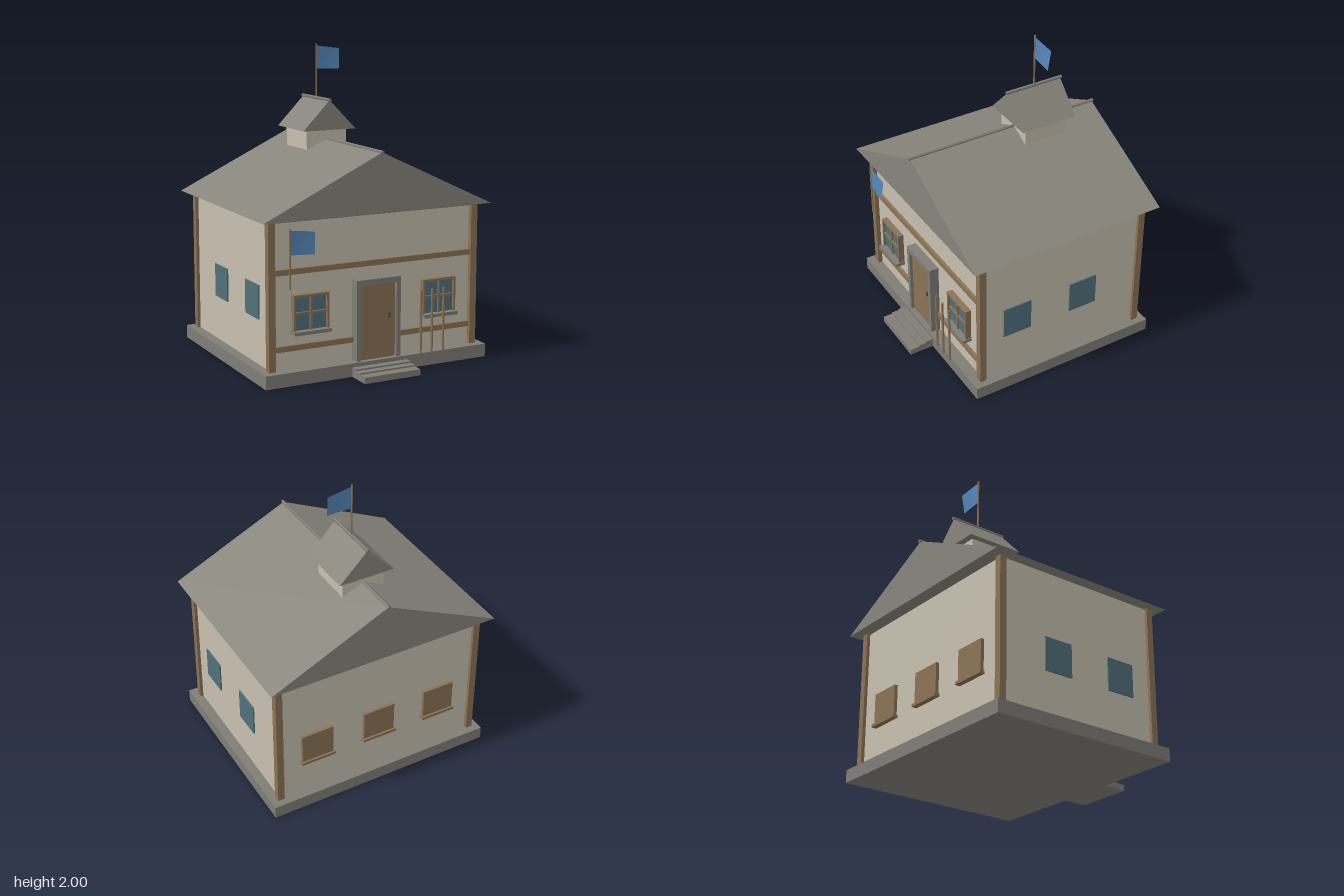
import * as THREE from 'three';

const mat = (name, color, side = THREE.FrontSide) => {
  const m = new THREE.MeshStandardMaterial({ color, side });
  m.name = name;
  return m;
};

export function createModel() {
  const plaster = mat('plaster', 0xc8c0b0);
  const roofGrey = mat('roofGrey', 0x87847b);
  const stone = mat('stone', 0x807d76);
  const wood = mat('wood', 0x8b7355);
  const glass = mat('glass', 0x52707c);
  const flagBlue = mat('flagBlue', 0x5585b8, THREE.DoubleSide);
  const iron = mat('iron', 0x4a4a4a);

  const model = new THREE.Group();
  model.name = 'house';

  const add = (name, geo, material, parent = model) => {
    const m = new THREE.Mesh(geo, material);
    m.name = name;
    parent.add(m);
    return m;
  };
  // box given by its limits on each axis
  const box = (name, x0, x1, y0, y1, z0, z1, material, parent) => {
    const m = add(name, new THREE.BoxGeometry(x1 - x0, y1 - y0, z1 - z0), material, parent);
    m.position.set((x0 + x1) / 2, (y0 + y1) / 2, (z0 + z1) / 2);
    return m;
  };
  const pole = (name, x, y0, y1, z, r, material) => {
    const m = add(name, new THREE.CylinderGeometry(r, r, y1 - y0, 8), material);
    m.position.set(x, (y0 + y1) / 2, z);
  };
  // solid gable roof with a round ridge cap
  const gable = (name, halfWidth, y0, y1, z0, z1) => {
    const s = new THREE.Shape();
    s.moveTo(-halfWidth, y0);
    s.lineTo(halfWidth, y0);
    s.lineTo(0, y1);
    const roof = add(name, new THREE.ExtrudeGeometry(s, { depth: z1 - z0, bevelEnabled: false }), roofGrey);
    roof.position.z = z0;
    const ridge = add(name + 'Ridge', new THREE.CylinderGeometry(0.011, 0.011, z1 - z0 + 0.02, 8), stone);
    ridge.rotation.x = Math.PI / 2;
    ridge.position.set(0, y1, (z0 + z1) / 2);
  };
  // gently waving flag hung from the top of a pole
  const flag = (name, x, top, z) => {
    const geo = new THREE.PlaneGeometry(0.165, 0.15, 8, 4);
    const p = geo.attributes.position;
    for (let i = 0; i < p.count; i++) {
      const t = p.getX(i) / 0.165 + 0.5;
      const v = 0.5 - p.getY(i) / 0.15;
      p.setXYZ(i, t * (0.17 - 0.008 * v), -0.15 * v - t * (0.022 - 0.014 * v), t * 0.01 * (v * 1.6 - 0.9));
    }
    geo.computeVertexNormals();
    add(name, geo, flagBlue).position.set(x, top, z);
  };

  // plinth and entrance steps
  box('plinth', -0.78, 0.78, 0, 0.085, -0.725, 0.59, stone);
  [[0.04, 0.755], [0.05, 0.69], [0.06, 0.64]].forEach(([top, front], i) =>
    box('step' + (i + 1), -0.195, 0.195, 0, top, 0.57, front, stone));

  // walls
  box('walls', -0.715, 0.715, 0.085, 1.015, -0.655, 0.51, plaster);

  // corner posts
  for (const s of [-1, 1]) for (const z of [0.517, -0.655])
    box('cornerPost', s * 0.7125 - 0.023, s * 0.7125 + 0.023, 0.085, 1.015, z - 0.023, z + 0.023, wood);

  // front beams
  for (const [y0, y1] of [[0.2, 0.235], [0.675, 0.71], [0.997, 1.015]])
    box('frontBeam', -0.69, 0.69, y0, y1, 0.5, 0.53, wood);

  // main roof and bell house
  gable('mainRoof', 0.795, 1.015, 1.39, -0.745, 0.605);
  box('bellHouse', -0.145, 0.145, 1.3, 1.452, -0.445, -0.145, plaster);
  gable('bellHouseRoof', 0.19, 1.45, 1.645, -0.49, -0.1);

  // flags
  pole('roofFlagPole', 0, 1.64, 2, -0.295, 0.006, wood);
  flag('roofFlag', 0.002, 1.988, -0.295);
  pole('frontFlagPole', -0.617, 0.6, 0.97, 0.592, 0.006, wood);
  flag('frontFlag', -0.615, 0.96, 0.592);

  // door with stone surround
  for (const s of [-1, 1])
    box('doorJamb', s * 0.14 - 0.015, s * 0.14 + 0.015, 0.085, 0.57, 0.5, 0.575, stone);
  box('doorLintel', -0.155, 0.155, 0.565, 0.6, 0.5, 0.575, stone);
  box('door', -0.125, 0.125, 0.085, 0.566, 0.5, 0.555, wood);
  box('doorHandle', 0.074, 0.088, 0.34, 0.37, 0.55, 0.565, iron);

  // front windows
  for (const s of [-1, 1]) {
    const w = new THREE.Group();
    w.name = 'frontWindow';
    w.position.x = s * 0.453;
    model.add(w);
    box('pane', -0.11, 0.11, 0.32, 0.54, 0.5, 0.533, glass, w);
    for (const k of [-1, 1])
      box('frameSide', k * 0.112 - 0.007, k * 0.112 + 0.007, 0.32, 0.548, 0.5, 0.55, wood, w);
    box('frameTop', -0.119, 0.119, 0.534, 0.548, 0.5, 0.55, wood, w);
    box('mullion', -0.006, 0.006, 0.32, 0.54, 0.5, 0.545, wood, w);
    box('crossbar', -0.11, 0.11, 0.428, 0.44, 0.5, 0.545, wood, w);
    box('sill', -0.125, 0.125, 0.303, 0.325, 0.5, 0.575, stone, w);
  }

  // side windows
  for (const s of [-1, 1]) for (const z of [0.26, -0.23])
    box('sideWindow', s * 0.718 - 0.006, s * 0.718 + 0.006, 0.375, 0.59, z - 0.1, z + 0.1, glass);

  // shuttered back windows
  for (const x of [-0.445, 0, 0.445]) {
    box('backShutter', x - 0.11, x + 0.11, 0.335, 0.54, -0.677, -0.65, wood);
    box('backSill', x - 0.12, x + 0.12, 0.318, 0.337, -0.69, -0.65, wood);
  }

  // stakes beside the door
  for (const x of [0.286, 0.367, 0.451]) pole('stake', x, 0.085, 0.5, 0.602, 0.008, wood);

  return model;
}
